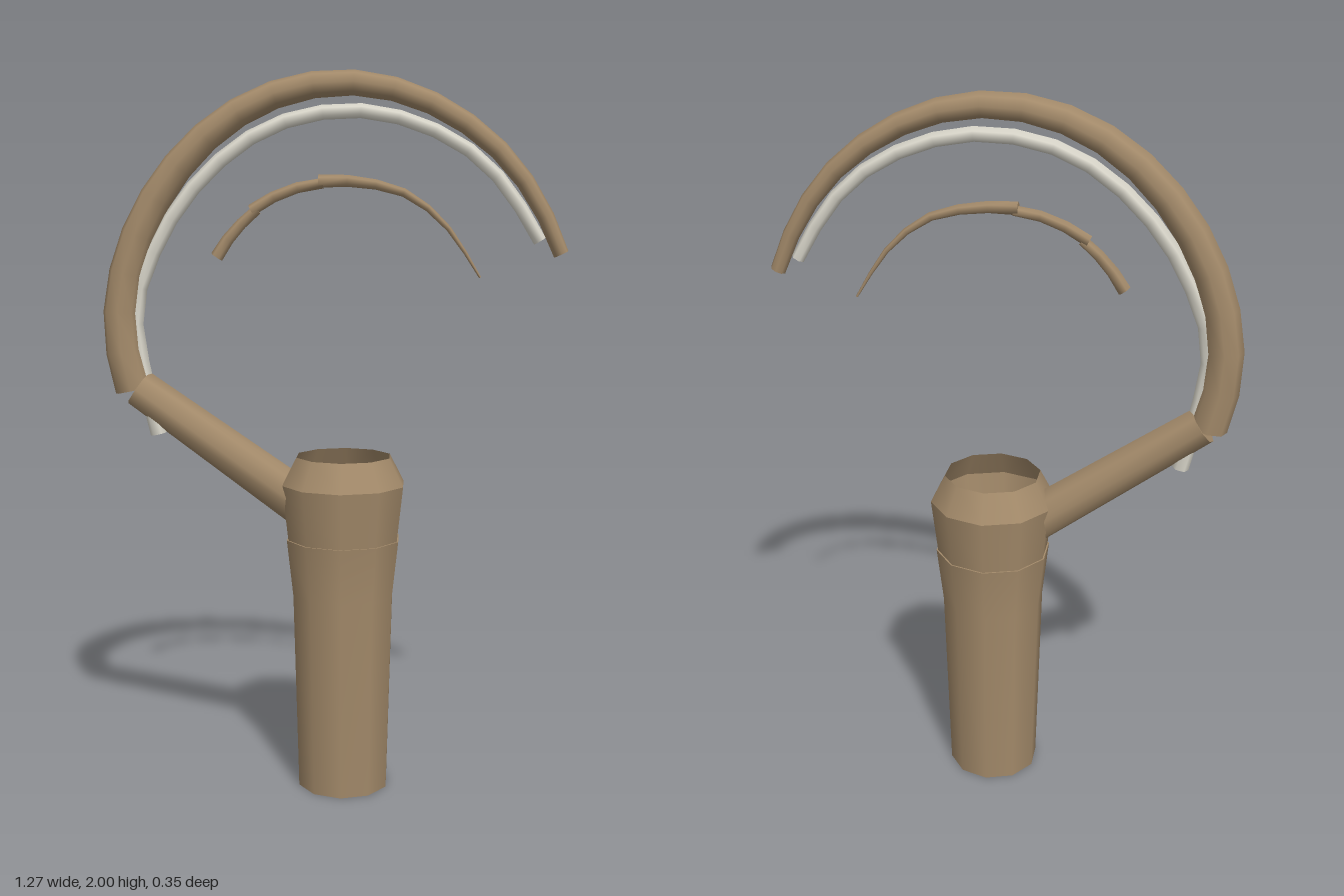
import * as THREE from 'three';

const wood = new THREE.MeshStandardMaterial({ color: 0xa38a6a, side: THREE.DoubleSide });
wood.name = 'tan wood';
const pale = new THREE.MeshStandardMaterial({ color: 0xdad7cb, side: THREE.DoubleSide });
pale.name = 'pale edge';

// Capped tube along a curve in the xy plane, radius running linearly from r0 to r1
function taperedTube(points, r0, r1, segments, sides) {
  const curve = new THREE.CatmullRomCurve3(points.map(([x, y]) => new THREE.Vector3(x, y, 0)));
  const pos = [], index = [];
  const ring = (t) => {
    const c = curve.getPointAt(t), d = curve.getTangentAt(t);
    const r = r0 + (r1 - r0) * t;
    for (let j = 0; j < sides; j++) {
      const a = (j / sides) * Math.PI * 2, u = r * Math.cos(a);
      pos.push(c.x - d.y * u, c.y + d.x * u, r * Math.sin(a));
    }
  };
  for (let i = 0; i <= segments; i++) ring(i / segments);
  for (let i = 0; i < segments; i++) {
    for (let j = 0; j < sides; j++) {
      const a = i * sides + j, b = i * sides + (j + 1) % sides;
      index.push(a, b, a + sides, b, b + sides, a + sides);
    }
  }
  // End caps with their own corners, so the rims stay sharp
  const start = pos.length / 3, end = start + sides;
  ring(0);
  ring(1);
  for (let j = 1; j < sides - 1; j++) {
    index.push(start, start + j + 1, start + j, end, end + j, end + j + 1);
  }
  const g = new THREE.BufferGeometry();
  g.setAttribute('position', new THREE.Float32BufferAttribute(pos, 3));
  g.setIndex(index);
  g.computeVertexNormals();
  return g;
}

export function createModel() {
  const model = new THREE.Group();
  const add = (name, geometry, material, parent = model) => {
    const mesh = new THREE.Mesh(geometry, material);
    mesh.name = name;
    parent.add(mesh);
    return mesh;
  };
  const SIDES = 10;
  const lathe = (profile) =>
    new THREE.LatheGeometry(profile.map(([r, y]) => new THREE.Vector2(r, y)), SIDES);

  // Handle: shaft with a flared neck, and a hollow collar on top
  const handle = new THREE.Group();
  handle.name = 'handle';
  handle.position.x = 0.027;
  model.add(handle);
  add('shaft', lathe([[0.13, 0], [0.145, 0.56], [0.163, 0.72]]), wood, handle);
  add('collar', lathe([[0.158, 0.715], [0.176, 0.875]]), wood, handle);
  add('collarBevel', lathe([[0.176, 0.875], [0.135, 0.953]]), wood, handle);
  const disc = (name, r, y, turn) => {
    const m = add(name, new THREE.CircleGeometry(r, SIDES), wood, handle);
    m.geometry.rotateZ(Math.PI / 2).rotateX(turn);
    m.position.y = y;
  };
  disc('shaftBase', 0.13, 0, Math.PI / 2);
  disc('collarFloor', 0.163, 0.72, -Math.PI / 2);

  // Straight arm from the collar to the hook
  add('arm', taperedTube([[0.03, 0.73], [-0.545, 1.14]], 0.069, 0.054, 1, 8), wood);

  // Large tapering hook
  add('hook', taperedTube([
    [-0.558, 1.135], [-0.588, 1.27], [-0.585, 1.4], [-0.54, 1.56], [-0.455, 1.71],
    [-0.33, 1.84], [-0.18, 1.927], [0, 1.965], [0.17, 1.945], [0.32, 1.88],
    [0.45, 1.78], [0.55, 1.65], [0.615, 1.51],
  ], 0.054, 0.021, 18, 8), wood);

  // Pale edge lining the inside of the hook
  add('hookEdge', taperedTube([
    [-0.492, 1.01], [-0.535, 1.2], [-0.55, 1.36], [-0.5, 1.51], [-0.42, 1.645],
    [-0.3, 1.77], [-0.16, 1.855], [0.02, 1.892], [0.17, 1.875], [0.3, 1.825],
    [0.41, 1.75], [0.5, 1.64], [0.557, 1.545],
  ], 0.023, 0.018, 18, 6), pale);

  // Thin inner arc of three overlapping pieces, ending in a point
  const arc = new THREE.Group();
  arc.name = 'innerArc';
  model.add(arc);
  add('innerArcRoot', taperedTube(
    [[-0.322, 1.502], [-0.275, 1.57], [-0.21, 1.63]], 0.018, 0.014, 3, 6), wood, arc);
  add('innerArcMiddle', taperedTube(
    [[-0.226, 1.628], [-0.13, 1.68], [-0.03, 1.7]], 0.016, 0.014, 3, 6), wood, arc);
  add('innerArcTip', taperedTube(
    [[-0.042, 1.706], [0.065, 1.704], [0.2, 1.67], [0.31, 1.58], [0.398, 1.447]],
    0.018, 0.003, 7, 6), wood, arc);

  return model;
}
